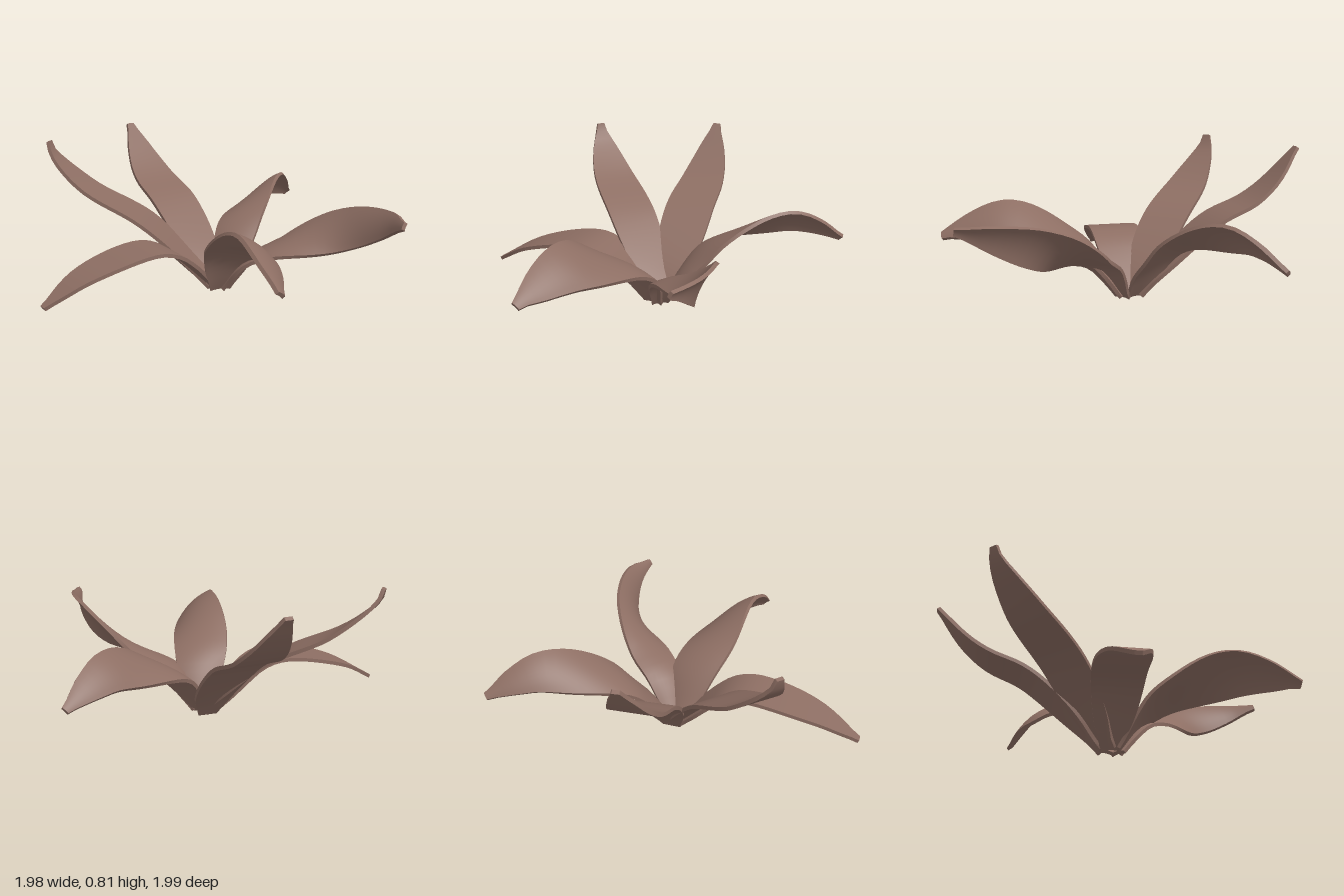
import * as THREE from 'three';
import { mergeGeometries } from 'three/addons/utils/BufferGeometryUtils.js';

const ROWS = 24, COLS = 8, THICK = 0.02;
const UP = new THREE.Vector3(0, 1, 0);

// Petal width from base to tip, as a share of the widest place
const widthCurve = new THREE.SplineCurve(
  [0.37, 0.7, 0.9, 0.99, 1, 0.95, 0.8, 0.52, 0.15].map((w, i) => new THREE.Vector2(i / 8, w)));

// Smooth surface through rows of points
function sheet(rows) {
  const n = rows[0].length, index = [];
  for (let i = 0; i < rows.length - 1; i++) {
    for (let j = 0; j < n - 1; j++) {
      const a = i * n + j, b = a + 1, c = a + n, d = c + 1;
      index.push(a, b, d, a, d, c);
    }
  }
  const g = new THREE.BufferGeometry().setFromPoints(rows.flat());
  g.setIndex(index);
  g.computeVertexNormals();
  return g;
}

// Petal swept along its midrib; it rolls by up to `roll` degrees towards the tip and domes by `arch`.
function petalGeometry(midrib, maxWidth, roll, arch) {
  const path = new THREE.CatmullRomCurve3(midrib.map((p) => new THREE.Vector3(...p)));
  const top = [], bottom = [];
  for (let i = 0; i <= ROWS; i++) {
    const t = i / ROWS;
    const centre = path.getPointAt(t), along = path.getTangentAt(t);
    const angle = THREE.MathUtils.degToRad(roll) * THREE.MathUtils.smoothstep(t, 0.2, 0.75);
    const across = along.clone().cross(UP).normalize().applyAxisAngle(along, -angle);
    const normal = across.clone().cross(along);
    const width = maxWidth * widthCurve.getPoint(t).y;
    const upper = [], lower = [];
    for (let j = 0; j <= COLS; j++) {
      const s = (j / COLS) * 2 - 1;
      const p = centre.clone()
        .addScaledVector(across, (s * width) / 2)
        .addScaledVector(normal, arch * width * (0.5 - s * s));
      upper.push(p.clone().addScaledVector(normal, THICK / 2));
      lower.push(p.clone().addScaledVector(normal, -THICK / 2));
    }
    top.push(upper);
    bottom.push(lower);
  }
  // Rim: up the right edge, across the tip, down the left edge, across the base
  const outline = (grid) => [
    ...grid.map((row) => row[COLS]),
    ...grid[ROWS].slice(0, -1).reverse(),
    ...grid.slice(0, -1).reverse().map((row) => row[0]),
    ...grid[0].slice(1),
  ];
  return mergeGeometries([
    sheet(top),
    sheet(bottom.map((row) => [...row].reverse())),
    sheet([outline(bottom), outline(top)]),
  ]);
}

export function createModel() {
  const group = new THREE.Group();
  group.name = 'flower';
  const petalBrown = new THREE.MeshStandardMaterial({ color: 0x8d6e63 });
  petalBrown.name = 'petalBrown';

  const addPetal = (name, width, roll, arch, midrib) => {
    const mesh = new THREE.Mesh(petalGeometry(midrib, width, roll, arch), petalBrown);
    mesh.name = name;
    group.add(mesh);
  };

  // Level petals: two rising at the back, one drooping to the right
  addPetal('backPetal', 0.29, 0, 0, [
    [0.07, 0.015, -0.06], [0.08, 0.16, -0.18], [0.075, 0.42, -0.48],
    [0.075, 0.52, -0.7], [0.075, 0.62, -0.83], [0.07, 0.81, -0.99]]);
  addPetal('backRightPetal', 0.28, 0, 0, [
    [0.04, 0.015, -0.02], [-0.015, 0.12, -0.095], [-0.22, 0.38, -0.3],
    [-0.465, 0.565, -0.545], [-0.6, 0.75, -0.695], [-0.615, 0.815, -0.71]]);
  addPetal('rightPetal', 0.29, 0, 0, [
    [0.03, 0.015, -0.015], [-0.15, 0.2, -0.015], [-0.25, 0.275, -0.02],
    [-0.38, 0.305, -0.03], [-0.75, 0.22, -0.05], [-0.985, 0.09, -0.055]]);

  // Petals that roll onto one edge towards the tip
  addPetal('frontRightPetal', 0.32, 42, 0.08, [
    [0.05, 0.015, 0.04], [0.01, 0.235, 0.18], [-0.05, 0.34, 0.33],
    [-0.15, 0.44, 0.655], [-0.25, 0.375, 0.91], [-0.28, 0.338, 0.988]]);
  addPetal('frontLeftPetal', 0.26, -65, 0.08, [
    [0.085, 0.015, 0.04], [0.175, 0.2, 0.155], [0.29, 0.28, 0.27],
    [0.5, 0.41, 0.545], [0.55, 0.497, 0.825], [0.5, 0.53, 0.985]]);
  addPetal('leftPetal', 0.27, 45, 0.08, [
    [0.085, 0.015, -0.02], [0.22, 0.21, -0.085], [0.355, 0.35, -0.17],
    [0.685, 0.455, -0.36], [0.82, 0.425, -0.435], [0.98, 0.34, -0.512]]);
  return group;
}
